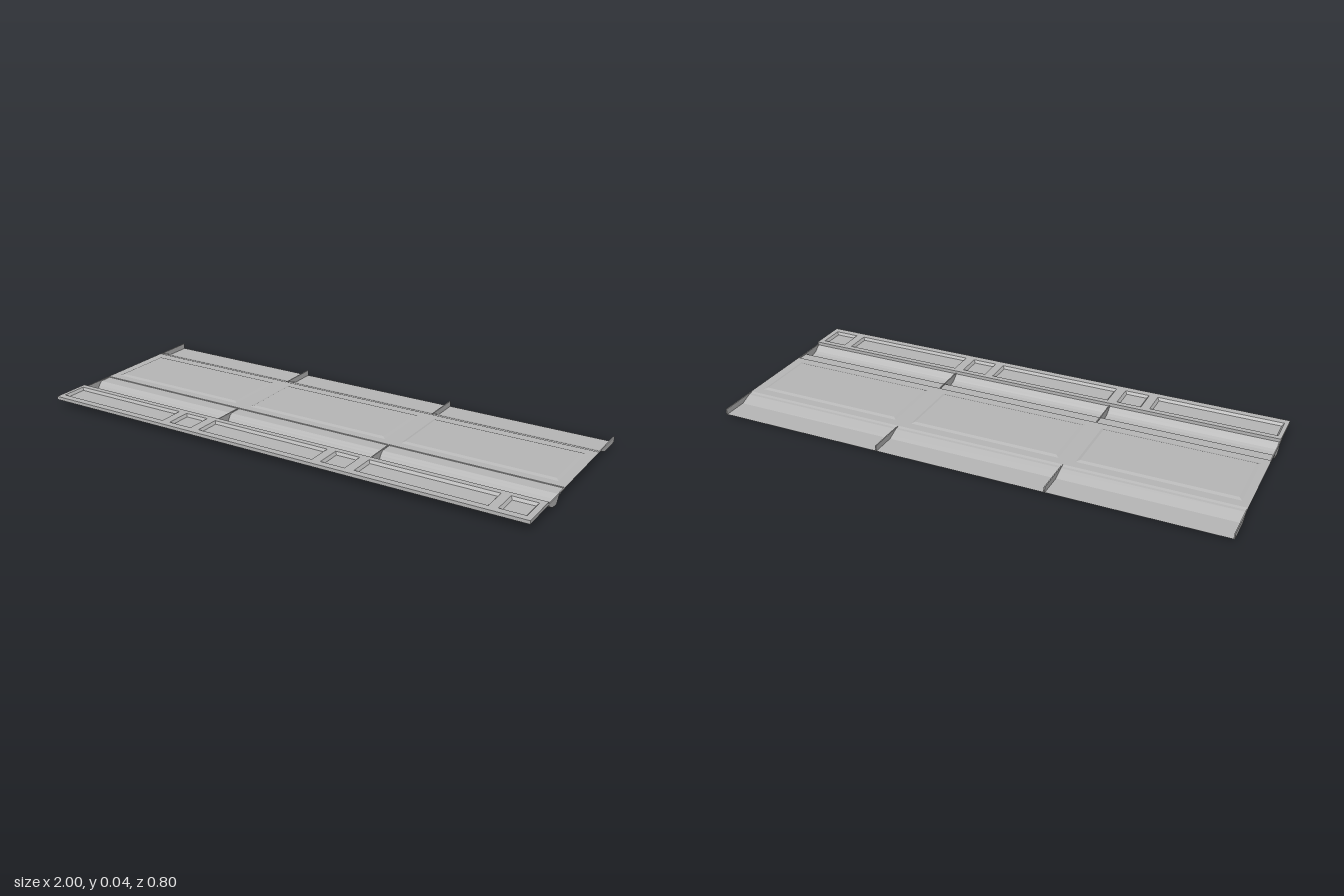
import * as THREE from 'three';

const panelGrey = new THREE.MeshStandardMaterial({ color: 0xb6b6b6, side: THREE.DoubleSide });
panelGrey.name = 'panelGrey';

// Flat-shaded sheet from corner points and triangle indices
function facets(points, index) {
  const g = new THREE.BufferGeometry();
  g.setAttribute('position', new THREE.Float32BufferAttribute(points.flat(), 3));
  g.setIndex(index);
  const flat = g.toNonIndexed();
  flat.computeVertexNormals();
  return flat;
}

// Sweep a [z, y] profile, listed front to back, along the full width
function sweep(profile) {
  const points = profile.flatMap(([z, y]) => [[-1, y, z], [1, y, z]]);
  const index = [];
  for (let i = 0; i < profile.length - 1; i++) {
    const a = i * 2;
    index.push(a, a + 1, a + 3, a, a + 3, a + 2);
  }
  return facets(points, index);
}

const corners = (r, d) => [
  [r.x0 + d, r.z1 - d], [r.x1 - d, r.z1 - d], [r.x1 - d, r.z0 + d], [r.x0 + d, r.z0 + d],
];

// Rectangular pan: sloping rim from y0 to y1 and a flat middle
function pan(r, inset, y0, y1) {
  const points = [
    ...corners(r, 0).map(([x, z]) => [x, y0, z]),
    ...corners(r, inset).map(([x, z]) => [x, y1, z]),
  ];
  const index = [4, 5, 6, 4, 6, 7];
  for (let i = 0; i < 4; i++) {
    const j = (i + 1) % 4;
    index.push(i, j, j + 4, i, j + 4, i + 4);
  }
  return facets(points, index);
}

// Horizontal sheet with rectangular openings
function sheet(r, openings, y) {
  const toPoints = (q) => corners(q, 0).map(([x, z]) => new THREE.Vector2(x, -z));
  const shape = new THREE.Shape(toPoints(r));
  openings.forEach((o) => shape.holes.push(new THREE.Path(toPoints(o))));
  return new THREE.ShapeGeometry(shape).rotateX(-Math.PI / 2).translate(0, y, 0);
}

// Thin upright plate from a [z, y] outline
function plate(outline, x, thickness) {
  const shape = new THREE.Shape(outline.map(([z, y]) => new THREE.Vector2(z, y)));
  return new THREE.ExtrudeGeometry(shape, { depth: thickness, bevelEnabled: false })
    .rotateY(-Math.PI / 2).translate(x + thickness / 2, 0, 0);
}

export function createModel() {
  const model = new THREE.Group();
  const add = (name, geometry) => {
    const mesh = new THREE.Mesh(geometry, panelGrey);
    mesh.name = name;
    model.add(mesh);
  };
  const bays = [-2 / 3, 0, 2 / 3];
  const deckY = 0.03, frameTop = 0.04, frameBottom = 0.027;

  // Main deck with one raised panel per bay
  const raised = bays.map((c) => ({ x0: c - 0.303, x1: c + 0.297, z0: -0.2, z1: 0.065 }));
  add('deck', sheet({ x0: -1, x1: 1, z0: -0.235, z1: 0.1 }, raised, deckY));
  raised.forEach((r) => add('raisedPanel', pan(r, 0.012, deckY, 0.0345)));

  // Curved trough in front of the deck
  const trough = [
    [0.247, 0.027], [0.235, 0.018], [0.222, 0.008], [0.21, 0.003], [0.195, 0.0005],
    [0.171, 0], [0.164, 0.011], [0.157, 0.02], [0.149, 0.0255], [0.1, 0.0265], [0.1, deckY],
  ];
  add('trough', sweep(trough));

  // Lowered shelf behind the deck
  const shelf = [[-0.235, deckY], [-0.244, 0.0265], [-0.255, 0.0255], [-0.3, 0.008], [-0.4, 0.008]];
  add('backShelf', sweep(shelf));

  // Ribs closing the trough and shelf at the ends and between bays
  for (const x of [-0.998, -1 / 3, 1 / 3, 0.998]) {
    add('troughRib', plate([[0.247, deckY], ...trough], x, 0.004));
    add('shelfRib', plate([...shelf, [-0.4, deckY]], x, 0.004));
  }

  // Front frame with a long and a short recess per bay
  const recesses = bays.flatMap((c) => [
    { x0: c - 0.318, x1: c + 0.178, z0: 0.27, z1: 0.372 },
    { x0: c + 0.213, x1: c + 0.311, z0: 0.27, z1: 0.372 },
  ]);
  add('frameTop', sheet({ x0: -1, x1: 1, z0: 0.247, z1: 0.4 }, recesses, frameTop));
  recesses.forEach((r) => add('frameRecess', pan(r, 0.008, frameTop, 0.03)));

  // Skirt around the frame
  add('frameFrontEdge', sweep([[0.4, frameBottom], [0.4, frameTop]]));
  add('frameBackEdge', sweep([[0.247, frameTop], [0.247, frameBottom]]));
  for (const s of [-1, 1]) {
    add('frameEnd', new THREE.PlaneGeometry(0.153, frameTop - frameBottom)
      .rotateY(s * Math.PI / 2).translate(s, (frameTop + frameBottom) / 2, 0.3235));
  }
  return model;
}
